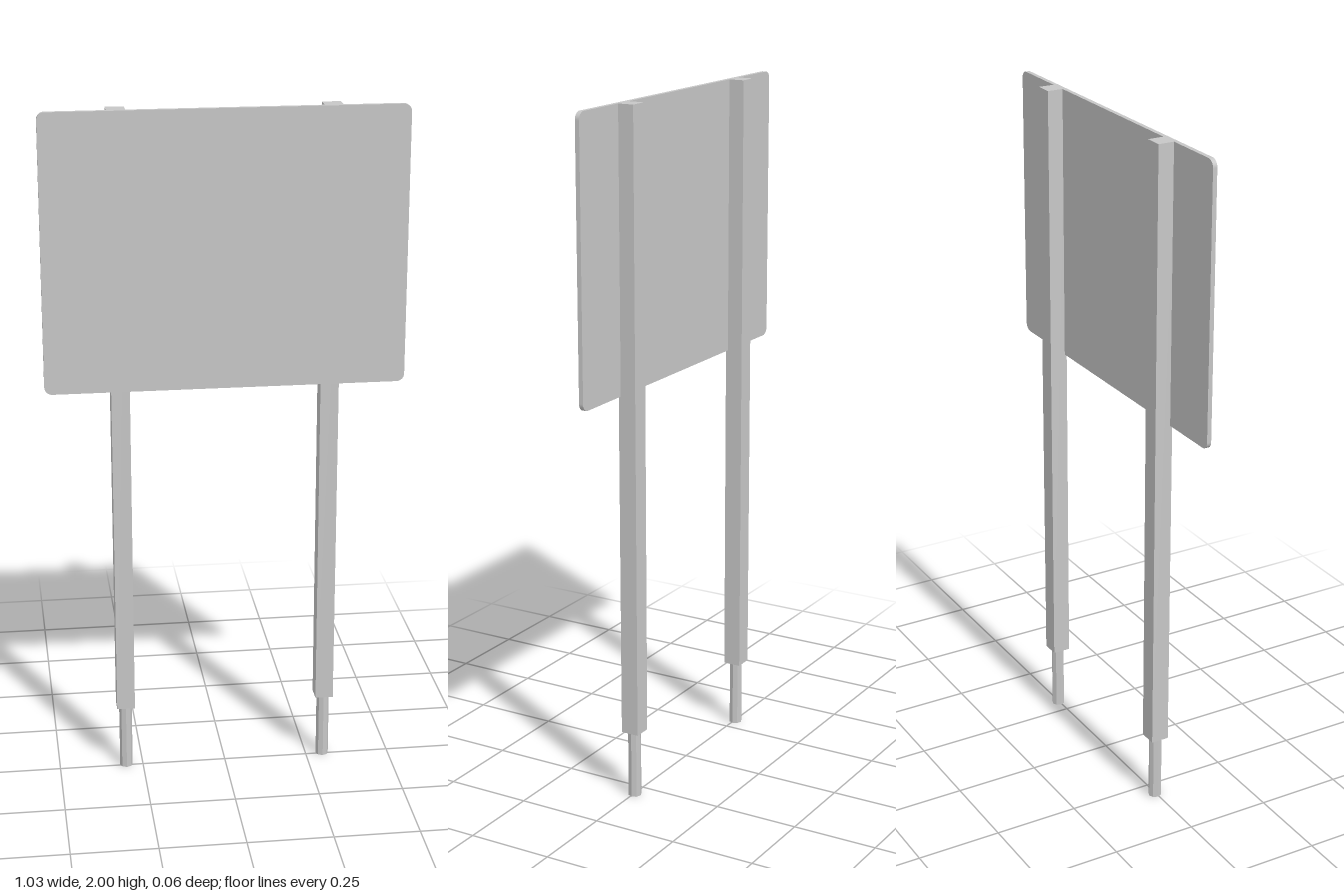
import * as THREE from 'three';

export function createModel() {
  const model = new THREE.Group();
  model.name = 'signboard';
  const grey = new THREE.MeshStandardMaterial({ color: 0xc6c6c6 });
  grey.name = 'light grey metal';
  // faceted pins share the same colour
  grey.flatShading = true;

  const add = (name, geometry, x, y, z) => {
    const mesh = new THREE.Mesh(geometry, grey);
    mesh.name = name;
    mesh.position.set(x, y, z);
    model.add(mesh);
  };

  // Panel: thin plate with rounded corners
  const w = 0.515, h = 0.4, r = 0.022;
  const outline = new THREE.Shape();
  outline.absarc(w - r, h - r, r, 0, Math.PI / 2);
  outline.absarc(r - w, h - r, r, Math.PI / 2, Math.PI);
  outline.absarc(r - w, r - h, r, Math.PI, Math.PI * 1.5);
  outline.absarc(w - r, r - h, r, Math.PI * 1.5, Math.PI * 2);
  outline.closePath();
  const plate = new THREE.ExtrudeGeometry(outline, { depth: 0.013, bevelEnabled: false, curveSegments: 6 });
  add('panel', plate, 0, 1.6, 0.016);

  // Square posts behind the panel, each standing on a thin ground pin
  const post = new THREE.BoxGeometry(0.053, 1.8, 0.053);
  const pin = new THREE.CylinderGeometry(0.019, 0.019, 0.2, 8);
  for (const [side, x] of [['left', 0.3], ['right', -0.3]]) {
    add(side + 'Post', post, x, 1.1, -0.004);
    add(side + 'Pin', pin, x, 0.1, -0.004);
  }
  return model;
}
